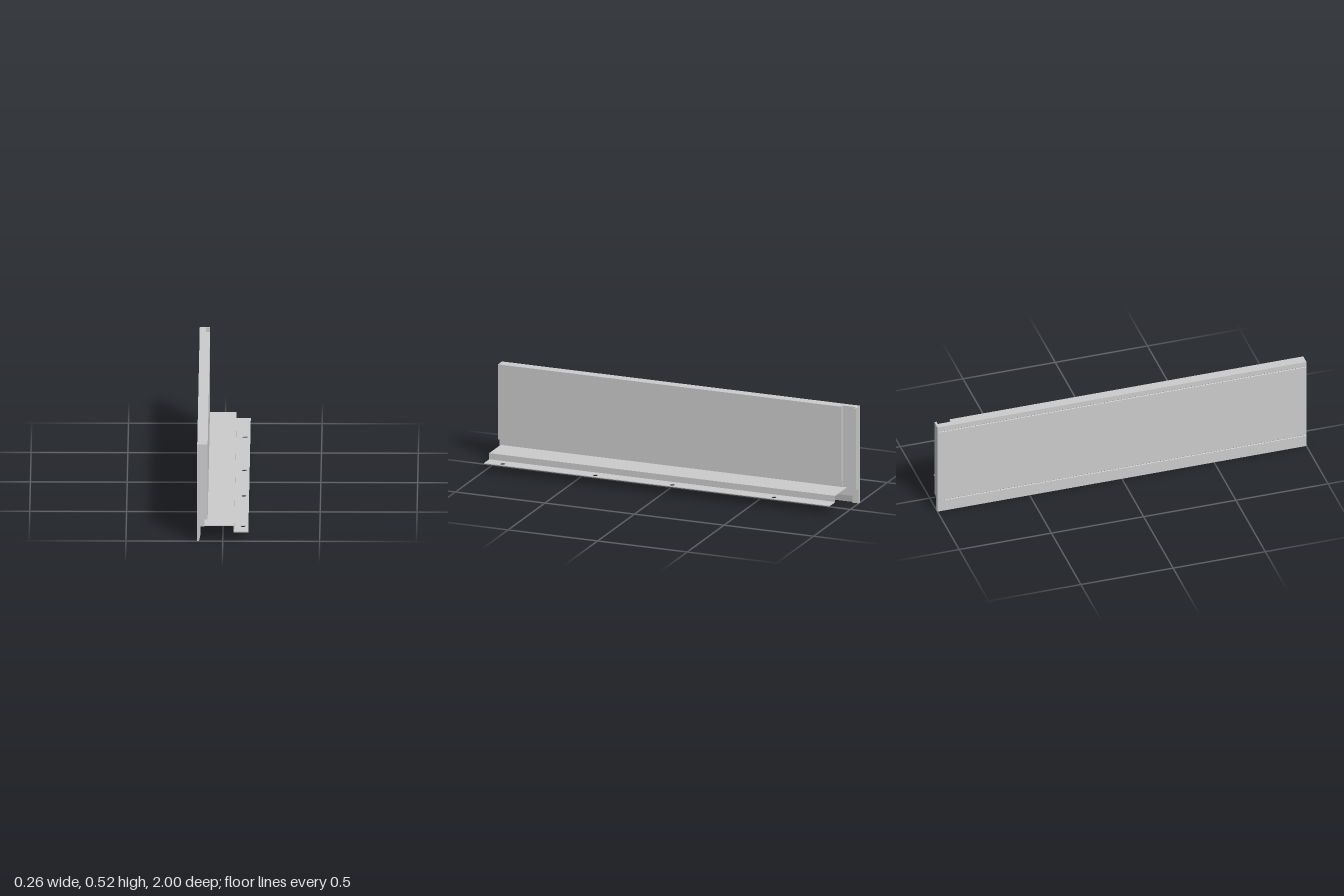
import * as THREE from 'three';

const material = new THREE.MeshStandardMaterial({ color: 0xcccccc });

// Closed outline in x/y, extruded along z from z0 to z1
function profile(name, points, z0, z1) {
  const shape = new THREE.Shape(points.map(([x, y]) => new THREE.Vector2(x, y)));
  const geometry = new THREE.ExtrudeGeometry(shape, { depth: z1 - z0, bevelEnabled: false });
  geometry.translate(0, 0, z0);
  const mesh = new THREE.Mesh(geometry, material);
  mesh.name = name;
  return mesh;
}

// Rectangular block given by its limits
function block(name, x0, x1, y0, y1, z0, z1) {
  const mesh = new THREE.Mesh(new THREE.BoxGeometry(x1 - x0, y1 - y0, z1 - z0), material);
  mesh.position.set((x0 + x1) / 2, (y0 + y1) / 2, (z0 + z1) / 2);
  mesh.name = name;
  return mesh;
}

export function createModel() {
  const group = new THREE.Group();
  const outer = -0.132;

  // Tall side wall: stepped underside, tapered skirt, two fine grooves outside
  const groove = (y) => [[outer, y + 0.003], [outer + 0.003, y], [outer, y - 0.003]];
  group.add(profile('sideWall', [
    [outer, 0], [-0.123, 0], [-0.115, 0.035], [-0.115, 0.08], [-0.095, 0.08],
    [-0.095, 0.117], [-0.078, 0.117], [-0.078, 0.523], [outer, 0.523],
    ...groove(0.493), ...groove(0.067),
  ], -0.917, 1));

  // Rear channel: thin web, end lip and foot
  group.add(profile('rearWeb', [
    [outer, 0], [-0.123, 0], [-0.115, 0.035], [-0.115, 0.08], [-0.1, 0.08],
    [-0.1, 0.523], [outer, 0.523],
    ...groove(0.493), ...groove(0.067),
  ], -0.99, -0.917));
  group.add(block('rearLip', outer, -0.078, 0.08, 0.523, -1, -0.988));
  group.add(block('rearFoot', outer, -0.11, 0, 0.08, -1, -0.967));

  // Folded sheet shelf: flat top and short drop
  const back = -0.937, front = 0.993;
  group.add(profile('shelf', [
    [-0.117, 0.079], [0.055, 0.079], [0.055, 0.046], [0.059, 0.046],
    [0.059, 0.083], [-0.117, 0.083],
  ], back, front));

  // Mounting flange with screw holes, drawn in x/-z and laid flat
  const flange = new THREE.Shape();
  flange.moveTo(0.059, -front);
  flange.lineTo(0.132, -front);
  flange.lineTo(0.132, -back);
  flange.lineTo(0.059, -back);
  flange.closePath();
  for (const z of [-0.615, -0.048, 0.382, 0.9]) {
    flange.holes.push(new THREE.Path().absarc(0.104, -z, 0.014, 0, Math.PI * 2, true));
  }
  const flangeGeometry = new THREE.ExtrudeGeometry(flange, { depth: 0.004, bevelEnabled: false, curveSegments: 24 });
  flangeGeometry.rotateX(-Math.PI / 2).translate(0, 0.046, 0);
  const flangeMesh = new THREE.Mesh(flangeGeometry, material);
  flangeMesh.name = 'mountingFlange';
  group.add(flangeMesh);

  return group;
}
